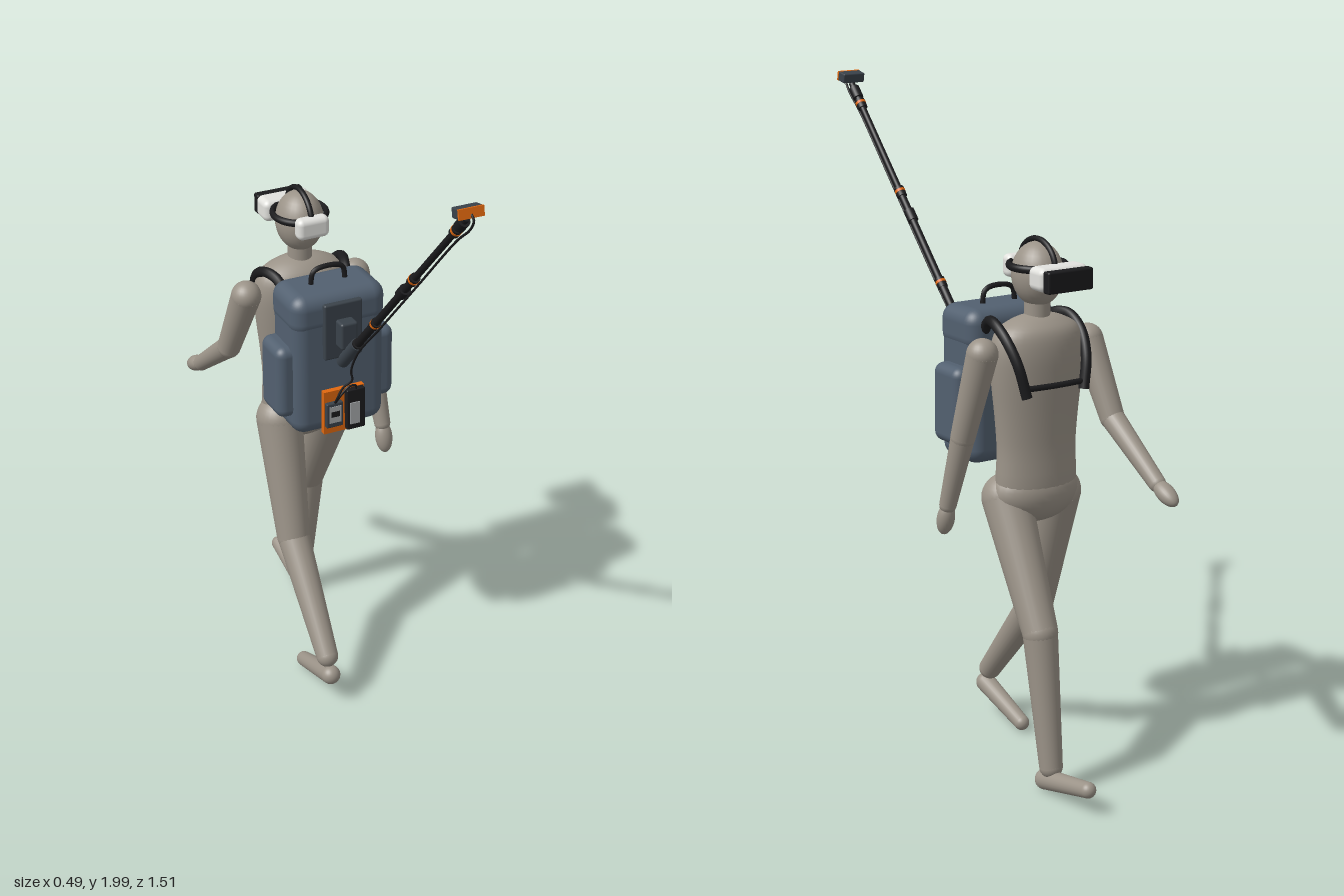
import * as THREE from 'three';
import { mergeGeometries } from 'three/addons/utils/BufferGeometryUtils.js';
import { RoundedBoxGeometry } from 'three/addons/geometries/RoundedBoxGeometry.js';

const paint = (name, color) => Object.assign(new THREE.MeshStandardMaterial({ color }), { name });
const V = (x, y, z) => new THREE.Vector3(x, y, z);
const UP = V(0, 1, 0);

export function createModel() {
  const body = paint('body taupe', 0x9b9388);
  const blue = paint('pack blue grey', 0x526070);
  const dark = paint('dark grey', 0x3a424a);
  const black = paint('black', 0x1b1b1d);
  const white = paint('off white', 0xe2e2de);
  const orange = paint('orange', 0xe0680f);
  const grey = paint('light grey', 0xa6aaac);

  const model = new THREE.Group();
  model.name = 'walkerWithBackpack';

  const add = (parent, name, geometry, material, x = 0, y = 0, z = 0) => {
    const mesh = new THREE.Mesh(geometry, material);
    mesh.name = name;
    mesh.position.set(x, y, z);
    parent.add(mesh);
    return mesh;
  };
  const group = (name) => {
    const g = new THREE.Group();
    g.name = name;
    model.add(g);
    return g;
  };
  const box = (w, h, d) => new THREE.BoxGeometry(w, h, d);
  const rbox = (w, h, d, r) => new RoundedBoxGeometry(w, h, d, 4, r);
  const ball = (rx, ry, rz) => new THREE.SphereGeometry(1, 28, 18).scale(rx, ry, rz);
  const tube = (points, r, n = 40) =>
    new THREE.TubeGeometry(new THREE.CatmullRomCurve3(points), n, r, 10);
  // Straight tapered rod between two points
  const rod = (a, b, ra, rb) => {
    const d = b.clone().sub(a);
    const g = new THREE.CylinderGeometry(rb, ra, d.length(), 24);
    g.applyQuaternion(new THREE.Quaternion().setFromUnitVectors(UP, d.normalize()));
    const m = a.clone().add(b).multiplyScalar(0.5);
    return g.translate(m.x, m.y, m.z);
  };
  // Rod with a ball at each end
  const limb = (a, b, ra, rb) => mergeGeometries([
    rod(a, b, ra, rb),
    ball(ra, ra, ra).translate(a.x, a.y, a.z),
    ball(rb, rb, rb).translate(b.x, b.y, b.z),
  ]);

  // Torso, pelvis, neck and head
  const person = group('person');
  const outline = [[0, 0.82], [0.1, 0.83], [0.132, 0.88], [0.13, 1.0], [0.137, 1.1], [0.15, 1.22],
    [0.152, 1.3], [0.135, 1.355], [0.09, 1.385], [0.04, 1.4], [0, 1.402]];
  const profile = new THREE.SplineCurve(outline.map(([r, y]) => new THREE.Vector2(r, y)))
    .getPoints(40).map((p) => new THREE.Vector2(Math.max(0, p.x), p.y));
  add(person, 'torso', new THREE.LatheGeometry(profile, 36).scale(1, 1, 0.61), body, 0, 0, -0.33);
  add(person, 'pelvis', ball(0.145, 0.095, 0.09), body, 0, 0.868, -0.325);
  add(person, 'neck', rod(V(0, 1.37, -0.33), V(0, 1.48, -0.33), 0.038, 0.038), body);
  add(person, 'head', ball(0.074, 0.095, 0.082), body, 0, 1.517, -0.33);

  // Arms, swinging opposite to the legs
  const arms = {
    left: [V(0.185, 1.3, -0.322), V(0.205, 1.04, -0.25), V(0.217, 0.82, -0.187), V(0.218, 0.73, -0.165)],
    right: [V(-0.185, 1.3, -0.325), V(-0.205, 1.08, -0.425), V(-0.218, 0.925, -0.63), V(-0.22, 0.885, -0.71)],
  };
  for (const [side, [shoulder, elbow, wrist, tip]] of Object.entries(arms)) {
    add(person, side + 'UpperArm', limb(shoulder, elbow, 0.047, 0.037), body);
    add(person, side + 'Forearm', limb(elbow, wrist, 0.036, 0.026), body);
    const middle = wrist.clone().lerp(tip, 0.5);
    const hand = add(person, side + 'Hand', ball(0.028, 0.053, 0.026), body, ...middle.toArray());
    hand.quaternion.setFromUnitVectors(UP, tip.clone().sub(wrist).normalize());
  }

  // Legs in mid stride
  const legs = {
    left: [V(0.085, 0.85, -0.3), V(0.095, 0.49, -0.493), V(0.09, 0.085, -0.547), V(0.09, 0.034, -0.518), V(0.09, 0.079, -0.732)],
    right: [V(-0.085, 0.85, -0.315), V(-0.09, 0.465, -0.208), V(-0.095, 0.16, 0.053), V(-0.095, 0.103, 0.078), V(-0.095, 0.034, -0.125)],
  };
  for (const [side, [hip, knee, ankle, heel, toe]] of Object.entries(legs)) {
    add(person, side + 'Thigh', limb(hip, knee, 0.074, 0.053), body);
    add(person, side + 'Shin', limb(knee, ankle, 0.052, 0.035), body);
    add(person, side + 'Foot', limb(heel, toe, 0.031, 0.024), body);
  }

  // Headset with straps and rear battery
  const headset = group('headset');
  add(headset, 'headsetHousing', rbox(0.168, 0.07, 0.075, 0.02), white, 0, 1.525, -0.435);
  add(headset, 'visor', rbox(0.156, 0.064, 0.03, 0.006), black, 0, 1.523, -0.483);
  add(headset, 'rearBattery', rbox(0.105, 0.068, 0.045, 0.018), white, 0, 1.53, -0.24);
  add(headset, 'headBand', new THREE.TorusGeometry(0.082, 0.009, 10, 48)
    .rotateX(Math.PI / 2).scale(1, 1.3, 1.04), black, 0, 1.543, -0.33);
  add(headset, 'topStrap', new THREE.TorusGeometry(0.088, 0.009, 10, 40, Math.PI)
    .rotateY(Math.PI / 2).scale(1, 0.9, 1), black, 0, 1.54, -0.33);

  // Backpack
  const pack = group('backpack');
  add(pack, 'packBody', rbox(0.306, 0.465, 0.183, 0.045), blue, 0, 1.163, -0.128);
  add(pack, 'packLid', rbox(0.312, 0.13, 0.189, 0.045), blue, 0, 1.335, -0.128);
  for (const s of [-1, 1]) {
    add(pack, 'sidePocket', rbox(0.08, 0.24, 0.14, 0.03), blue, s * 0.157, 1.11, -0.135);
    add(pack, 'shoulderStrap', tube([V(s * 0.1, 1.33, -0.2), V(s * 0.115, 1.375, -0.25),
      V(s * 0.13, 1.38, -0.3), V(s * 0.132, 1.345, -0.362), V(s * 0.12, 1.275, -0.408),
      V(s * 0.1, 1.18, -0.426)], 0.016), black);
  }
  add(pack, 'chestStrap', tube([V(-0.104, 1.205, -0.422), V(0, 1.205, -0.428), V(0.104, 1.205, -0.422)], 0.009), black);
  add(pack, 'carryHandle', tube([V(-0.058, 1.385, -0.13), V(-0.05, 1.435, -0.13), V(-0.03, 1.447, -0.13),
    V(0.03, 1.447, -0.13), V(0.05, 1.435, -0.13), V(0.058, 1.385, -0.13)], 0.008), black);

  // Pole mount
  add(pack, 'mountPlate', rbox(0.126, 0.185, 0.02, 0.006), dark, 0, 1.282, -0.03);
  add(pack, 'mountBlock', rbox(0.056, 0.088, 0.045, 0.008), dark, 0, 1.28, 0);

  // Telescopic pole
  const pole = group('pole');
  const at = (t) => V(0, 1.18 + 0.79 * t, -0.02 + 0.745 * t);
  const piece = (name, t0, t1, r, material) => add(pole, name, rod(at(t0), at(t1), r, r), material);
  piece('poleGrip', -0.01, 0.125, 0.02, dark);
  piece('lowerTube', 0.1, 0.28, 0.013, black);
  piece('middleTube', 0.28, 0.6, 0.0115, black);
  piece('upperTube', 0.6, 0.985, 0.01, black);
  for (const t of [0.115, 0.51, 0.95]) piece('poleCollar', t - 0.018, t + 0.018, 0.017, black);
  for (const t of [0.28, 0.595, 0.912]) {
    piece('jointSleeve', t - 0.018, t + 0.012, 0.0155, black);
    piece('jointRing', t - 0.004, t + 0.004, 0.0165, orange);
  }

  // Camera on the pole tip
  const camera = group('poleCamera');
  camera.position.set(0, 1.979, 0.716);
  camera.rotation.x = -0.2;
  add(camera, 'cameraBody', rbox(0.076, 0.03, 0.036, 0.004), dark);
  add(camera, 'cameraFace', box(0.076, 0.029, 0.007), orange, 0, 0, 0.02);

  // Control boxes on the lower back of the pack
  const control = group('controlUnit');
  add(control, 'backPlate', box(0.136, 0.145, 0.02), orange, 0, 1.01, -0.028);
  add(control, 'batteryBox', rbox(0.062, 0.138, 0.022, 0.004), black, 0.033, 1.012, -0.012);
  add(control, 'batteryPanel', box(0.032, 0.074, 0.004), grey, 0.028, 1.0, 0);
  add(control, 'recorderBox', rbox(0.056, 0.084, 0.018, 0.004), dark, -0.037, 1.005, -0.013);
  add(control, 'recorderPanel', box(0.04, 0.056, 0.004), grey, -0.037, 1.008, -0.004);
  add(control, 'recorderScreen', box(0.028, 0.018, 0.004), black, -0.037, 1.01, -0.002);

  // Thin cable from the camera down the pole to the recorder
  const under = (t) => at(t).add(V(0, -0.017, 0.016));
  add(pole, 'cable', tube([V(0, 1.98, 0.735), V(0, 1.968, 0.752), V(0, 1.935, 0.735), under(0.9), under(0.6),
    under(0.3), under(0.1), V(0, 1.165, 0.03), V(0.006, 1.13, 0.025), V(-0.015, 1.1, 0.005),
    V(-0.032, 1.065, 0), V(-0.037, 1.04, -0.01)], 0.0035, 120), black);
  add(pole, 'batteryCable', tube([V(-0.037, 1.04, -0.01), V(-0.02, 1.075, 0.003), V(0.005, 1.1, 0.006),
    V(0.03, 1.095, 0), V(0.035, 1.07, -0.01)], 0.0035), black);

  return model;
}
